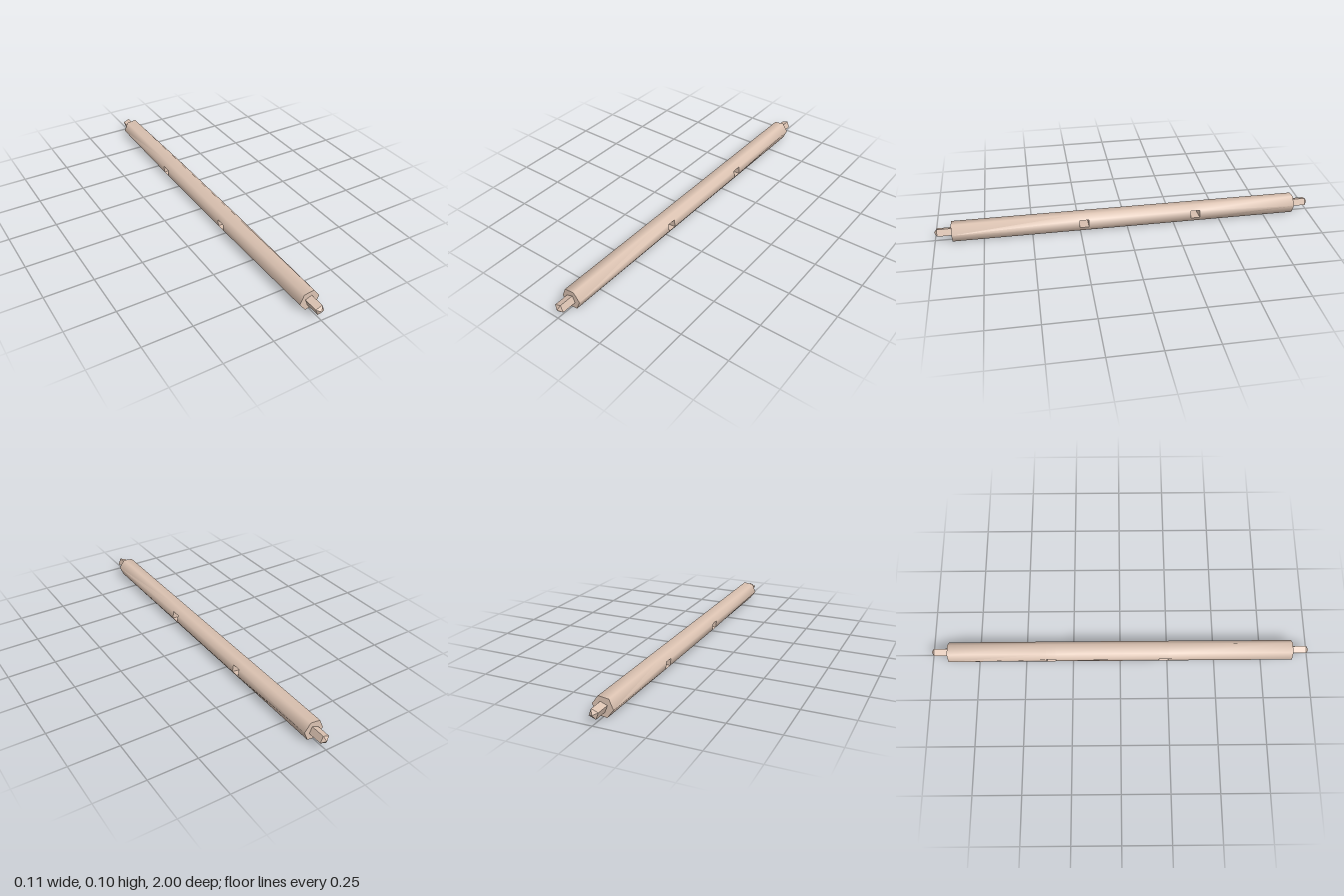
import * as THREE from 'three';
import { toCreasedNormals } from 'three/addons/utils/BufferGeometryUtils.js';

const R = 0.053; // hexagon radius
const END = 0.91; // half length of the beam body
const HOLES = [[0.254, 0.206], [-0.34, -0.388]]; // front and back z of each slot
const MOUTH = [0.049, 0.02]; // slot mouth: half depth and half height

// Hexagon section whose side corners split in two around the slots
function section(z, atSlot) {
  const [mx, my] = atSlot ? MOUTH : [R, 0];
  const cx = R / 2, cy = R * Math.sqrt(3) / 2;
  return [[mx, my], [cx, cy], [-cx, cy], [-mx, my], [-mx, -my], [-cx, -cy], [cx, -cy], [mx, -my]]
    .map(([x, y]) => new THREE.Vector3(x, y, z));
}

function beamGeometry() {
  const pos = [];
  const tri = (a, b, c) => {
    if (a.equals(b) || b.equals(c) || c.equals(a)) return;
    for (const p of [a, b, c]) pos.push(p.x, p.y, p.z);
  };
  const quad = (a, b, c, d) => { tri(a, b, c); tri(a, c, d); };

  const rings = [section(END, false), ...HOLES.flat().map((z) => section(z, true)), section(-END, false)];
  for (let i = 0; i < rings.length - 1; i++) {
    const A = rings[i], B = rings[i + 1];
    const isSlot = i % 2 === 1;
    for (let k = 0; k < 8; k++) {
      if (isSlot && k % 4 === 3) continue; // open slot mouths
      const n = (k + 1) % 8;
      quad(A[k], B[k], B[n], A[n]);
    }
    if (isSlot) { // walls of the through slot
      quad(A[0], A[3], B[3], B[0]);
      quad(A[7], B[7], B[4], A[4]);
      quad(A[0], A[7], A[4], A[3]);
      quad(B[0], B[3], B[4], B[7]);
    }
  }

  // End caps
  const front = rings[0], back = rings[rings.length - 1];
  for (let k = 1; k < 7; k++) {
    tri(front[0], front[k], front[k + 1]);
    tri(back[0], back[k + 1], back[k]);
  }
  const geo = new THREE.BufferGeometry();
  geo.setAttribute('position', new THREE.Float32BufferAttribute(pos, 3));
  return toCreasedNormals(geo, 1.1);
}

export function createModel() {
  const model = new THREE.Group();
  model.name = 'beam';
  const wood = new THREE.MeshStandardMaterial({ color: 0xdcc3b2 });
  const flatWood = new THREE.MeshStandardMaterial({ color: 0xdcc3b2, flatShading: true });
  const add = (geo, mat, name) => {
    const mesh = new THREE.Mesh(geo, mat);
    mesh.name = name;
    model.add(mesh);
  };

  add(beamGeometry(), wood, 'hexagonalBeam');

  // Square pegs with pyramid tips at both ends
  const r = 0.026, shoulder = 0.985;
  for (const s of [1, -1]) {
    const side = s > 0 ? 'front' : 'back';
    const place = (geo, z) => geo.rotateY(s * THREE.MathUtils.degToRad(-31))
      .rotateX(s * Math.PI / 2).translate(0, 0, s * z);
    const length = shoulder - END;
    add(place(new THREE.CylinderGeometry(r, r, length, 4, 1, true), END + length / 2), flatWood, side + 'Peg');
    add(place(new THREE.ConeGeometry(r, 1 - shoulder, 4, 1, true), (1 + shoulder) / 2), flatWood, side + 'PegTip');
  }

  // Slight roll about the long axis, resting on the ground
  const roll = THREE.MathUtils.degToRad(7);
  model.rotation.z = roll;
  model.position.y = R * Math.sin(Math.PI / 3 + roll);
  const root = new THREE.Group();
  root.add(model);
  return root;
}
